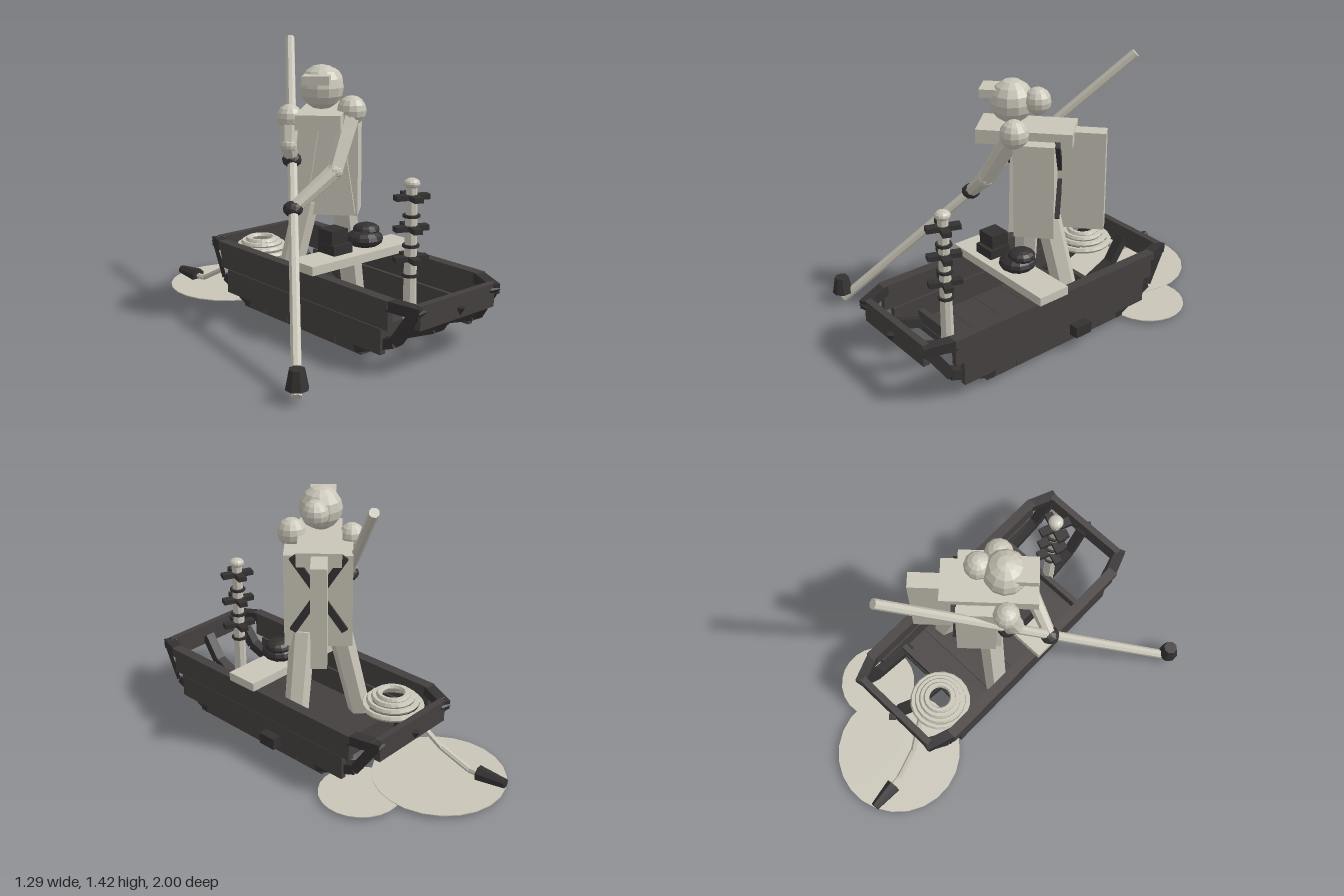
import * as THREE from 'three';

const pale = new THREE.MeshStandardMaterial({ color: 0xc9c5b8 });
pale.name = 'pale stone';
const dark = new THREE.MeshStandardMaterial({ color: 0x454040 });
dark.name = 'dark timber';
const black = new THREE.MeshStandardMaterial({ color: 0x343131 });
black.name = 'charcoal';

const V = (x, y, z) => new THREE.Vector3(x, y, z);

// Adds a faceted mesh to a group
function add(parent, name, geometry, material, pos = [0, 0, 0], rot = [0, 0, 0]) {
  const g = geometry.index ? geometry.toNonIndexed() : geometry;
  g.computeVertexNormals();
  const m = new THREE.Mesh(g, material);
  m.name = name;
  m.position.set(...pos);
  m.rotation.set(...rot);
  parent.add(m);
  return m;
}
const box = (p, name, mat, size, pos, rot) => add(p, name, new THREE.BoxGeometry(...size), mat, pos, rot);
const ball = (p, name, mat, r, pos) => add(p, name, new THREE.SphereGeometry(r, 12, 8), mat, pos);

// Points a mesh's y axis from a to b
function span(mesh, a, b) {
  mesh.position.copy(a).add(b).multiplyScalar(0.5);
  mesh.quaternion.setFromUnitVectors(V(0, 1, 0), b.clone().sub(a).normalize());
  return mesh;
}
function rod(p, name, mat, a, b, r0, r1 = r0, sides = 8) {
  return span(add(p, name, new THREE.CylinderGeometry(r1, r0, a.distanceTo(b), sides), mat), a, b);
}
// Rectangular beam between two points, kept upright
function beam(p, name, mat, a, b, w, h) {
  const m = box(p, name, mat, [w, h, a.distanceTo(b)], [0, 0, 0]);
  m.position.copy(a).add(b).multiplyScalar(0.5);
  m.up.set(0, 1, 0);
  const d = b.clone().sub(a);
  m.rotation.order = 'YXZ';
  m.rotation.set(-Math.atan2(d.y, Math.hypot(d.x, d.z)), Math.atan2(d.x, d.z), 0);
  return m;
}

function createBoat() {
  const boat = new THREE.Group();
  boat.name = 'boat';
  boat.position.set(0.1, 0, 0.1);
  boat.rotation.y = 0.375;

  // Floor planks
  for (let i = -2; i <= 2; i++) box(boat, 'floorPlank', dark, [0.61, 0.04, 0.178], [0, 0.057, i * 0.18]);

  for (const s of [-1, 1]) {
    // Side planks and gunwale
    box(boat, 'upperSidePlank', dark, [0.03, 0.125, 1.27], [s * 0.305, 0.273, 0]);
    box(boat, 'lowerSidePlank', dark, [0.03, 0.125, 1.17], [s * 0.3, 0.142, 0]);
    box(boat, 'gunwale', dark, [0.055, 0.04, 1.28], [s * 0.305, 0.335, 0]);
    // Ends of the hull
    for (const e of [-1, 1]) {
      beam(boat, 'gunwaleEnd', black, V(s * 0.305, 0.33, e * 0.62), V(s * 0.25, 0.315, e * 0.77), 0.055, 0.05);
      const path = [V(s * 0.25, 0.33, e * 0.76), V(s * 0.27, 0.15, e * 0.64), V(s * 0.28, 0.06, e * 0.4)];
      for (let i = 0; i < 2; i++) beam(boat, 'cornerRib', black, path[i], path[i + 1], 0.055, 0.05);
    }
  }
  for (const e of [-1, 1]) {
    box(boat, 'transom', dark, [0.5, 0.115, 0.035], [0, 0.288, e * 0.75]);
    box(boat, 'floorCrossbar', dark, [0.56, 0.07, 0.03], [0, 0.11, e * 0.43]);
    const path = [V(0, 0.28, e * 0.73), V(0, 0.15, e * 0.64), V(0, 0.06, e * 0.43)];
    for (let i = 0; i < 2; i++) beam(boat, 'centreRib', black, path[i], path[i + 1], 0.055, 0.045);
    add(boat, 'transomStud', new THREE.ConeGeometry(0.025, 0.04, 4), black, [0, 0.268, e * 0.78], [Math.PI, 0, 0]);
  }
  // Side blocks
  box(boat, 'sideBlock', black, [0.06, 0.06, 0.1], [0.335, 0.112, -0.12]);

  // Seat with the cargo on it
  box(boat, 'seat', pale, [0.7, 0.045, 0.175], [0, 0.378, 0.068]);
  box(boat, 'crateBase', black, [0.12, 0.05, 0.12], [-0.13, 0.44, 0.07]);
  box(boat, 'crateTop', black, [0.105, 0.07, 0.1], [-0.135, 0.5, 0.06]);
  ball(boat, 'sack', black, 0.095, [0.07, 0.45, 0.07]).scale.set(1, 0.5, 1);
  ball(boat, 'sackTop', black, 0.07, [0.09, 0.49, 0.06]).scale.set(1, 0.5, 1);

  // Lantern mast in the bow
  add(boat, 'mast', new THREE.CylinderGeometry(0.027, 0.034, 0.74, 8), pale, [0, 0.43, 0.46]);
  ball(boat, 'mastCap', pale, 0.04, [0, 0.81, 0.46]).scale.y = 0.65;
  for (const y of [0.745, 0.595, 0.447]) {
    for (const r of [0, Math.PI / 2]) box(boat, 'mastCross', black, [0.17, 0.026, 0.045], [0, y, 0.46], [0, r - 0.375, 0]);
  }
  for (const y of [0.655, 0.51, 0.365]) add(boat, 'mastRing', new THREE.CylinderGeometry(0.042, 0.042, 0.014, 8), black, [0, y, 0.46]);

  // Rope coil in the stern
  [[0.145, 0.29], [0.12, 0.315], [0.095, 0.335], [0.07, 0.35]].forEach(([r, y]) =>
    add(boat, 'ropeCoil', new THREE.TorusGeometry(r, 0.016, 6, 20), pale, [-0.12, y, -0.54], [Math.PI / 2, 0, 0]));
  return boat;
}

function createFigure(root) {
  // Torso, with its own turn
  const body = new THREE.Group();
  body.name = 'body';
  body.rotation.y = -0.468;
  root.add(body);
  box(body, 'torso', pale, [0.34, 0.49, 0.2], [0.028, 0.815, -0.036]);
  box(body, 'shoulderSlab', pale, [0.22, 0.072, 0.475], [0.022, 1.068, 0.022]);
  box(body, 'backFin', pale, [0.08, 0.52, 0.28], [0.02, 0.83, -0.23]);
  for (const s of [-1, 1]) {
    box(body, 'coatFlap', pale, [0.07, 0.46, 0.03], [0.028 + s * 0.09, 0.81, 0.075], [0, 0, s * 0.15]);
    // Crossed straps on the back
    box(body, 'backStrap', black, [0.035, 0.47, 0.025], [0.025, 0.86, -0.145], [0, 0, s * 0.58]);
  }

  // Legs
  const hips = [V(0.14, 0.64, -0.04), V(-0.07, 0.64, 0)];
  const feet = [V(0.24, 0.08, -0.14), V(-0.2, 0.08, -0.02)];
  hips.forEach((h, i) => rod(root, 'leg', pale, feet[i], h, 0.06, 0.065, 6));

  // Head, bun and visor
  ball(root, 'head', pale, 0.11, [-0.025, 1.222, 0.095]);
  ball(root, 'hairBun', pale, 0.068, [0.055, 1.236, -0.01]);
  box(root, 'visor', pale, [0.13, 0.042, 0.14], [-0.072, 1.268, 0.165], [0, -0.47, 0]);

  // Arms reaching to the pole
  const arms = [
    [V(0.12, 1.105, 0.13), V(-0.01, 0.83, 0.24), V(-0.228, 0.665, 0.26), 0.073],
    [V(-0.17, 1.07, 0.035), V(-0.19, 0.94, 0.075), V(-0.163, 0.86, 0.046), 0.066],
  ];
  for (const [shoulder, elbow, hand, r] of arms) {
    ball(root, 'shoulder', pale, r, shoulder.toArray());
    rod(root, 'upperArm', pale, elbow, shoulder, 0.042, 0.052);
    ball(root, 'elbow', pale, 0.043, elbow.toArray());
    rod(root, 'forearm', pale, hand, elbow, 0.034, 0.042);
    add(root, 'glove', new THREE.IcosahedronGeometry(0.05, 1), black, hand.toArray()).scale.y = 0.8;
  }
}

export function createModel() {
  const root = new THREE.Group();
  root.name = 'boatman';
  root.add(createBoat());
  createFigure(root);

  // Punting pole with its weight
  rod(root, 'pole', pale, V(-0.435, 0.025, 0.94), V(0.015, 1.41, -0.53), 0.025);
  add(root, 'poleWeight', new THREE.CylinderGeometry(0.036, 0.054, 0.09, 8), black, [-0.435, 0.11, 0.945]);

  // Anchor line and anchor
  const line = [V(-0.25, 0.29, -0.49), V(-0.36, 0.13, -0.59), V(-0.45, 0.045, -0.72), V(-0.48, 0.045, -0.78)];
  for (let i = 0; i < 3; i++) rod(root, 'anchorLine', pale, line[i], line[i + 1], 0.015, 0.015, 6);
  rod(root, 'anchor', black, V(-0.475, 0.045, -0.765), V(-0.54, 0.05, -0.9), 0.042, 0.024);

  // Flat pools on the ground
  add(root, 'largePool', new THREE.CylinderGeometry(0.335, 0.335, 0.005, 24), pale, [-0.31, 0.025, -0.662]);
  add(root, 'smallPool', new THREE.CylinderGeometry(0.205, 0.205, 0.005, 24), pale, [0.105, 0.022, -0.615]);
  return root;
}
